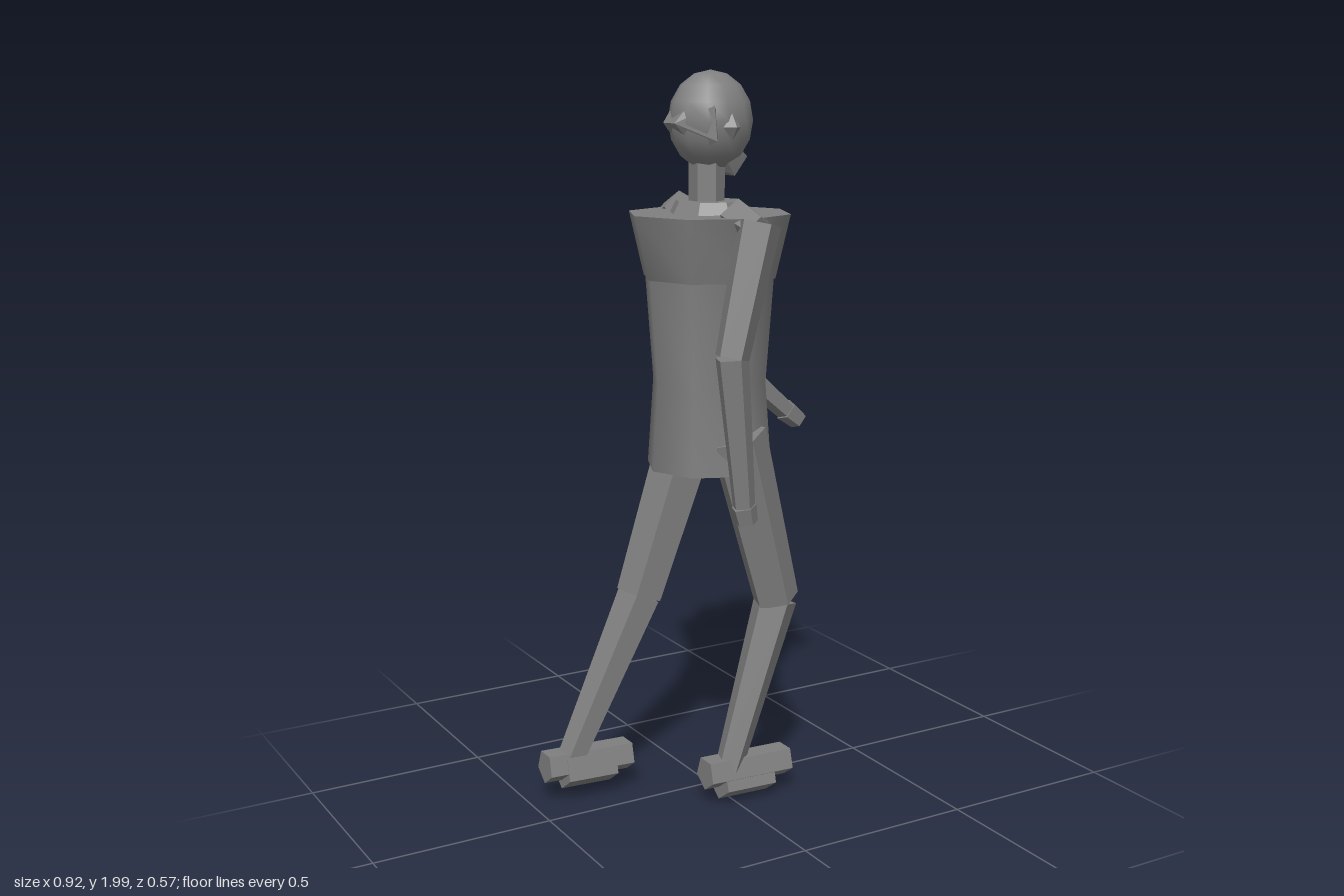
import * as THREE from 'three';
import { toCreasedNormals } from 'three/addons/utils/BufferGeometryUtils.js';
import { ConvexGeometry } from 'three/addons/geometries/ConvexGeometry.js';

const V = (x, y, z) => new THREE.Vector3(x, y, z);

export function createModel() {
  const model = new THREE.Group();
  const grey = new THREE.MeshStandardMaterial({ color: 0x7f7f7f });
  grey.name = 'grey';

  function add(name, geometry, crease = 0.3) {
    const mesh = new THREE.Mesh(toCreasedNormals(geometry, crease), grey);
    mesh.name = name;
    model.add(mesh);
    return mesh;
  }

  // Tapered five-sided segment, its ridge turned outwards
  function limb(name, start, end, r0, r1, side) {
    const axis = start.clone().sub(end);
    const geo = new THREE.CylinderGeometry(r0, r1, axis.length(), 5);
    if (side < 0) geo.rotateY(Math.PI);
    const mesh = add(name, geo);
    mesh.quaternion.setFromUnitVectors(V(0, 1, 0), axis.normalize());
    mesh.position.copy(start).add(end).multiplyScalar(0.5);
  }

  // Five-sided prism along x with its ridge downwards
  function footPrism(name, x0, x1, y, z, r, tilt) {
    const geo = new THREE.CylinderGeometry(r, r, x1 - x0, 5);
    geo.rotateY(Math.PI / 2).rotateZ(-Math.PI / 2);
    const mesh = add(name, geo);
    mesh.rotation.z = tilt;
    mesh.position.set((x0 + x1) / 2, y, z);
  }

  // Eight-sided torso: flared chest over a waisted tunic
  const ring = (pts, sides) => new THREE.LatheGeometry(pts.map(p => new THREE.Vector2(...p)), sides);
  add('chest', ring([[0, 1.46], [0.182, 1.46], [0.222, 1.63], [0, 1.63]], 8), 0.9);
  add('tunic', ring([[0, 0.945], [0.174, 0.945], [0.157, 1.18], [0.178, 1.465], [0, 1.465]], 8), 0.9);
  add('collar', ring([[0, 1.62], [0.11, 1.625], [0.09, 1.662], [0, 1.662]], 8), 0.5);

  // Neck and head
  add('neck', new THREE.CylinderGeometry(0.048, 0.048, 0.14, 6)).position.set(-0.007, 1.71, 0);
  const head = new THREE.SphereGeometry(1, 12, 8);
  head.scale(0.117, 0.13, 0.097);
  add('head', head, 1).position.set(0.005, 1.87, 0);

  // Mirrored lumps at the nape and chin
  const lump = half => new ConvexGeometry(half.flatMap(([x, y, z]) => [V(x, y, z), V(x, y, -z)]));
  add('nape', lump([[-0.12, 1.865, 0.03], [-0.055, 1.79, 0.045], [-0.03, 1.82, 0.095],
    [-0.035, 1.91, 0.09], [-0.085, 1.91, 0.04], [0, 1.86, 0.06]]));
  add('chin', lump([[0.03, 1.765, 0.045], [0.1, 1.775, 0.03], [0.065, 1.725, 0.025],
    [0.04, 1.735, 0.03], [0.07, 1.8, 0.04]]));

  // Joint positions [x, y] for each side; left is +z
  const poses = [
    { side: 1, label: 'left', elbow: [-0.068, 1.28], wrist: [-0.028, 0.88], tip: [-0.018, 0.835],
      handZ: 0.23, knee: [0.143, 0.57], ankle: [-0.005, 0.1], foot: [-0.08, 0.18, 0.094], sole: [-0.035, 0.12, 0.067], tilt: -0.03 },
    { side: -1, label: 'right', elbow: [0.108, 1.265], wrist: [0.395, 1.015], tip: [0.44, 0.98],
      handZ: 0.228, knee: [-0.155, 0.565], ankle: [-0.375, 0.125], foot: [-0.457, -0.2, 0.107], sole: [-0.405, -0.255, 0.09], tilt: -0.04 },
  ];

  for (const p of poses) {
    const s = p.side;
    const at = ([x, y], z) => V(x, y, z * s);

    // Arm
    limb(p.label + 'Shoulder', V(0, 1.625, 0.14 * s), V(0.008, 1.595, 0.24 * s), 0.055, 0.045, s);
    limb(p.label + 'UpperArm', V(0.015, 1.62, 0.227 * s), at(p.elbow, 0.234), 0.06, 0.047, s);
    limb(p.label + 'Forearm', at(p.elbow, 0.234), at(p.wrist, p.handZ), 0.046, 0.031, s);
    limb(p.label + 'Hand', at(p.wrist, p.handZ), at(p.tip, p.handZ), 0.035, 0.03, s);

    // Leg
    limb(p.label + 'Thigh', V(0.015, 1.045, 0.12 * s), at(p.knee, 0.12), 0.083, 0.066, s);
    limb(p.label + 'Shin', at(p.knee, 0.12), at(p.ankle, 0.118), 0.062, 0.04, s);

    // Foot with its lower sole
    const [fx0, fx1, fy] = p.foot, [sx0, sx1, sy] = p.sole;
    footPrism(p.label + 'Foot', fx0, fx1, fy, 0.117 * s, 0.047, p.tilt);
    footPrism(p.label + 'Sole', sx0, sx1, sy, 0.117 * s, 0.055, p.tilt);

    // Pointed ear
    const ear = new THREE.OctahedronGeometry(1);
    ear.scale(0.026, 0.035, 0.024);
    add(p.label + 'Ear', ear).position.set(0.015, 1.855, 0.094 * s);
  }
  return model;
}
